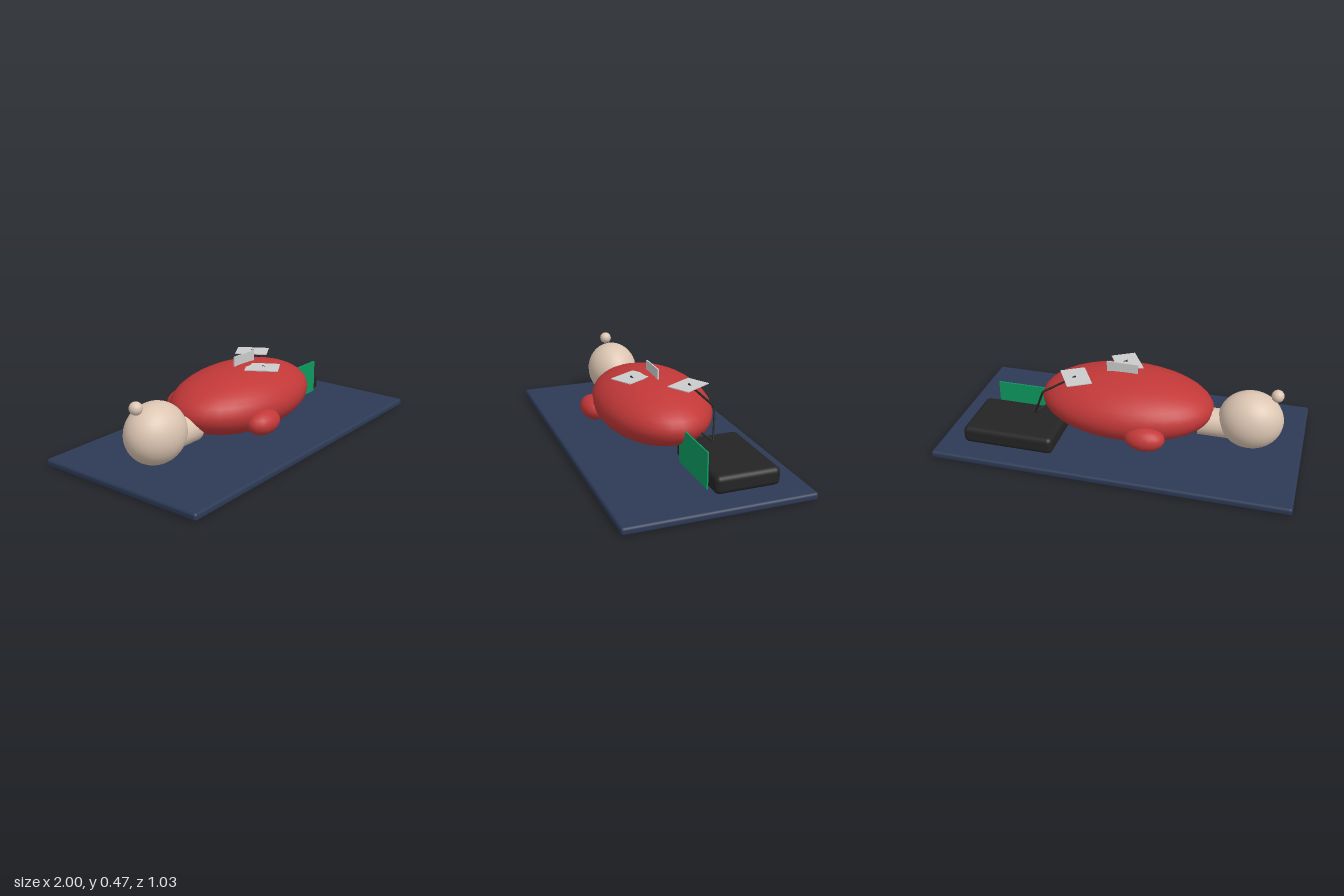
import * as THREE from 'three';
import { RoundedBoxGeometry } from 'three/addons/geometries/RoundedBoxGeometry.js';

export function createModel() {
  const model = new THREE.Group();
  const mat = (color) => new THREE.MeshStandardMaterial({ color });
  const navy = mat(0x2d3a55), red = mat(0xc23838), skin = mat(0xdcc5b2);
  const black = mat(0x242424), green = mat(0x0e9a60), white = mat(0xdadad6);

  const add = (name, geometry, material, x, y, z) => {
    const mesh = new THREE.Mesh(geometry, material);
    mesh.name = name;
    mesh.position.set(x, y, z);
    model.add(mesh);
    return mesh;
  };
  const ellipsoid = (rx, ry, rz, w = 32, h = 20) =>
    new THREE.SphereGeometry(1, w, h).scale(rx, ry, rz);

  // Mat on the floor
  add('floorMat', new RoundedBoxGeometry(2, 0.042, 1.03, 3, 0.015), navy, 0, 0.021, 0);

  // Lying dummy: torso, shoulders, neck, head and nose
  add('torso', ellipsoid(0.497, 0.18, 0.315), red, 0, 0.236, 0);
  for (const side of [1, -1]) {
    add(side > 0 ? 'frontShoulder' : 'backShoulder',
      ellipsoid(0.113, 0.068, 0.078, 16, 12), red, -0.17, 0.186, side * 0.285);
  }
  add('neck', new THREE.CylinderGeometry(0.08, 0.08, 0.22, 24).rotateZ(Math.PI / 2), skin, -0.53, 0.17, 0);
  add('head', ellipsoid(0.18, 0.165, 0.15), skin, -0.705, 0.221, 0);
  add('nose', new THREE.SphereGeometry(0.035, 16, 12), skin, -0.838, 0.39, 0);

  // Case with its thin upright lid panel
  add('case', new RoundedBoxGeometry(0.525, 0.1, 0.36, 4, 0.03), black, 0.598, 0.091, -0.2);
  add('casePanel', new THREE.BoxGeometry(0.36, 0.2, 0.008), green, 0.6, 0.146, -0.009);

  // Two chest pads turned alike, and a small upright plate between them
  const pads = [[0.265, -0.118], [0.035, 0.126]];
  pads.forEach(([x, z], i) => {
    const pad = add(i ? 'lowerPad' : 'upperPad', new THREE.BoxGeometry(0.14, 0.005, 0.185), white, x, 0.411, z);
    pad.rotation.y = Math.PI / 6;
  });
  add('chestPlate', new THREE.BoxGeometry(0.18, 0.12, 0.008), white, 0.03, 0.41, 0);

  // Leads made of straight runs, from each pad to the case
  const leads = [
    [[0.265, 0.417, -0.12], [0.435, 0.335, -0.2], [0.5, 0.172, -0.165]],
    [[0.035, 0.417, 0.13], [0.25, 0.32, 0.05], [0.5, 0.172, -0.165]],
  ];
  leads.forEach((points, i) => {
    const path = new THREE.CurvePath();
    const v = points.map((p) => new THREE.Vector3(...p));
    for (let k = 1; k < v.length; k++) path.add(new THREE.LineCurve3(v[k - 1], v[k]));
    const lead = add(i ? 'lowerLead' : 'upperLead', new THREE.TubeGeometry(path, 32, 0.006, 8), black, 0, 0, 0);
    lead.material = black.clone();
    lead.material.side = THREE.DoubleSide;
  });

  return model;
}
